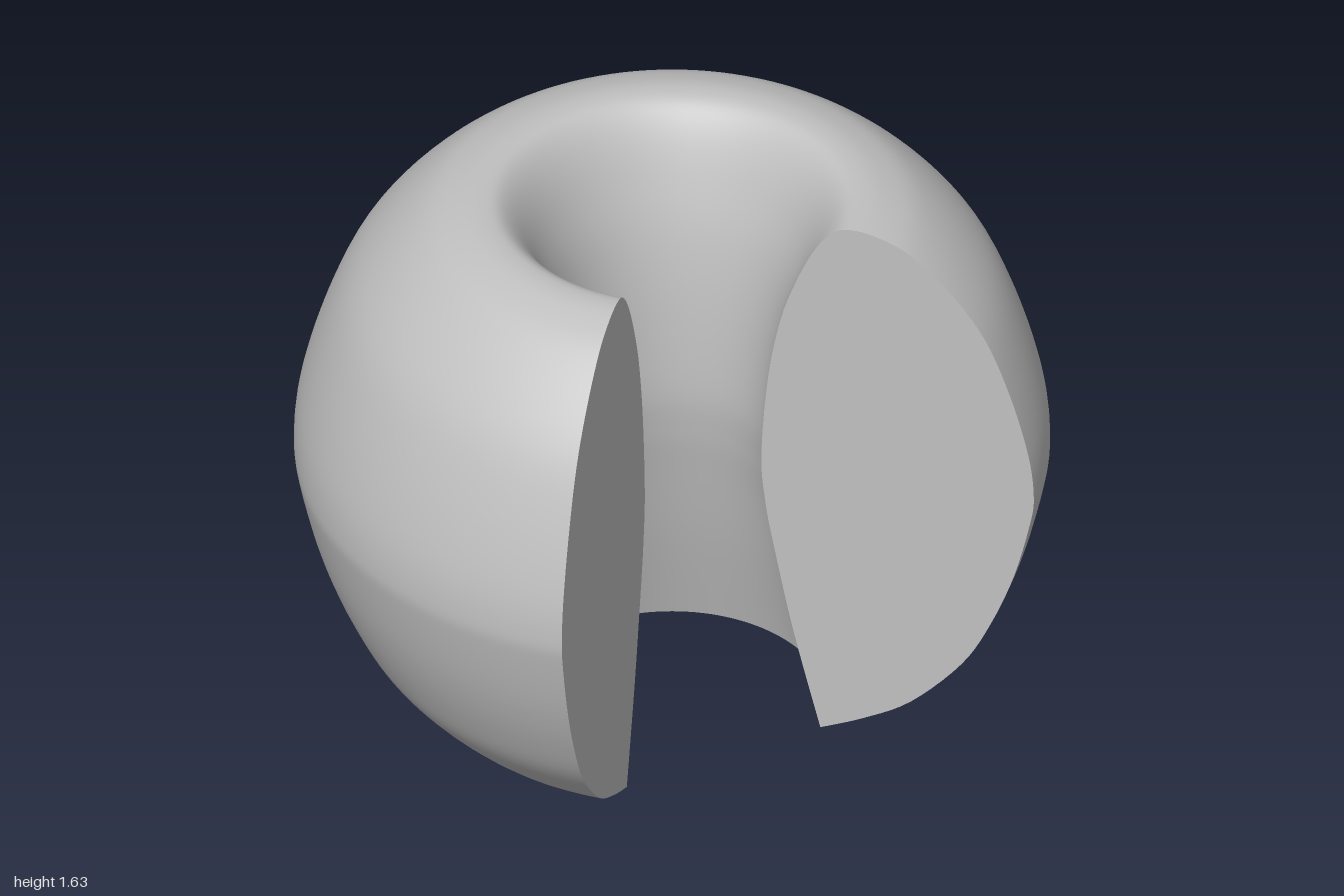
import * as THREE from 'three';

// Half-section (radius, height): outer wall upward, then inner wall downward
const OUTER = [[0.41, 0], [0.53, 0.055], [0.66, 0.135], [0.8, 0.285], [0.88, 0.43], [0.945, 0.6],
  [0.99, 0.78], [1, 0.87], [0.985, 1], [0.935, 1.18], [0.865, 1.35], [0.77, 1.48], [0.66, 1.58],
  [0.57, 1.62], [0.5, 1.63]];
const INNER = [[0.45, 1.615], [0.4, 1.555], [0.35, 1.45], [0.3, 1.3], [0.265, 1.1],
  [0.247, 0.85], [0.258, 0.7], [0.282, 0.56], [0.335, 0.3], [0.41, 0]];

export function createModel() {
  const group = new THREE.Group();
  const grey = new THREE.MeshStandardMaterial({ color: 0xc0c0c0 });
  grey.name = 'plainGrey';

  const add = (name, geometry) => {
    const mesh = new THREE.Mesh(geometry, grey);
    mesh.name = name;
    group.add(mesh);
  };

  const curve = new THREE.SplineCurve([...OUTER, ...INNER].map(([r, y]) => new THREE.Vector2(r, y)));
  const profile = curve.getPoints(120);

  // Three-quarter revolved body, open in the front left quadrant
  add('revolvedBody', new THREE.LatheGeometry(profile, 96, Math.PI / 2, Math.PI * 1.5));

  // Flat cut faces closing both ends
  const section = (side) => new THREE.ShapeGeometry(
    new THREE.Shape(profile.slice(0, -1).map((p) => new THREE.Vector2(side * p.x, p.y))));
  add('frontCutFace', section(1));
  add('sideCutFace', section(-1).rotateY(Math.PI / 2));

  return group;
}
